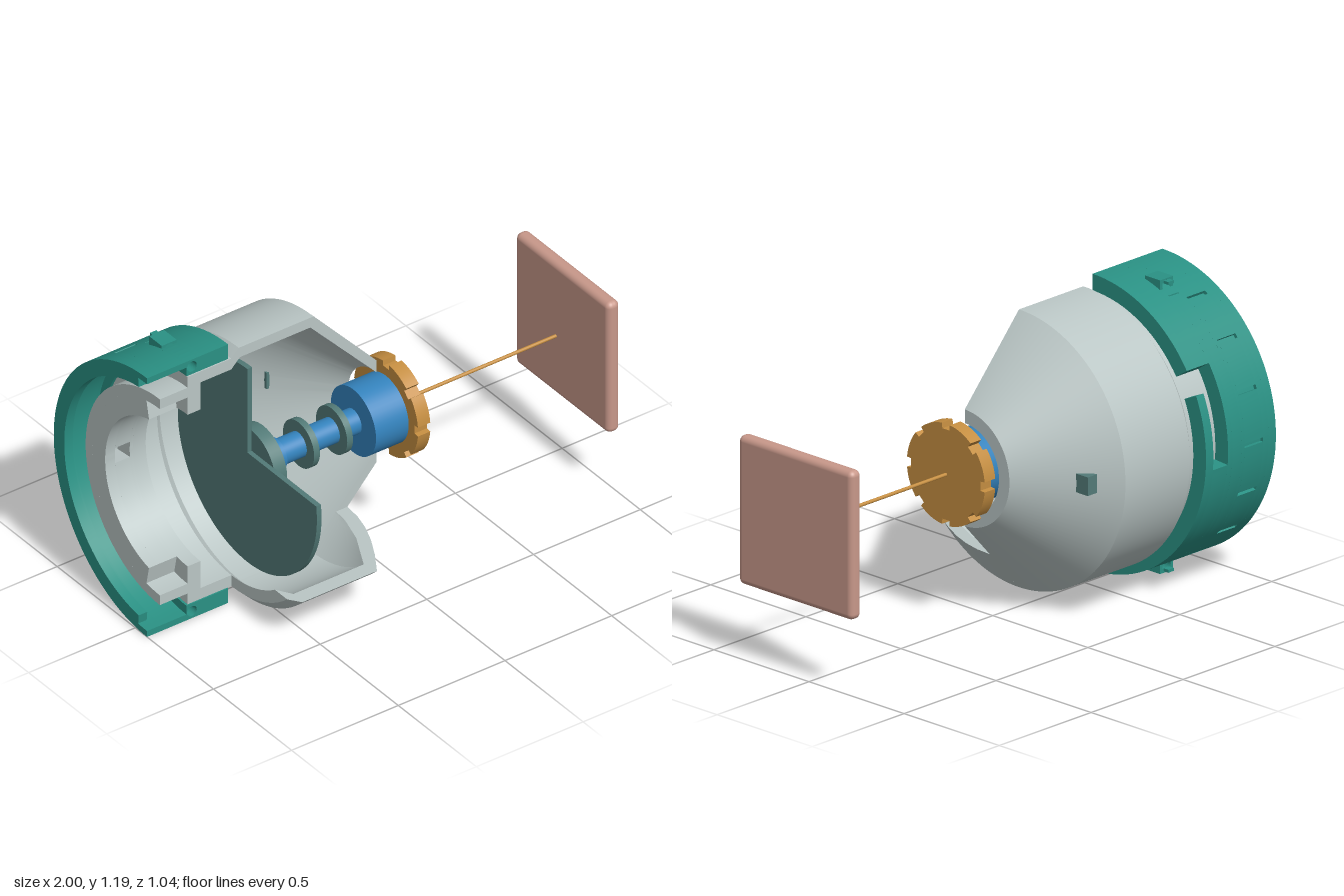
import * as THREE from 'three';
import { toCreasedNormals } from 'three/addons/utils/BufferGeometryUtils.js';
import { RoundedBoxGeometry } from 'three/addons/geometries/RoundedBoxGeometry.js';

const PI = Math.PI;
const material = (name, color) => {
  const m = new THREE.MeshStandardMaterial({ color });
  m.name = name;
  return m;
};

// Sweeps a closed clockwise (x, radius) section about the x axis.
// Angle 0 is up and a quarter turn is the back; the end angle may depend on radius.
function sweep(profile, a0, a1, steps) {
  const end = typeof a1 === 'function' ? a1 : () => a1;
  const n = steps || Math.max(2, Math.ceil((end(0.5) - a0) / (PI / 60)));
  const at = ([x, r], j) => {
    const a = a0 + (end(r) - a0) * j / n;
    return [x, r * Math.cos(a), -r * Math.sin(a)];
  };
  const pos = [];
  const tri = (a, b, c) => pos.push(...a, ...b, ...c);
  profile.forEach((p, i) => {
    const q = profile[(i + 1) % profile.length];
    for (let j = 0; j < n; j++) {
      tri(at(p, j), at(q, j), at(q, j + 1));
      tri(at(p, j), at(q, j + 1), at(p, j + 1));
    }
  });
  // flat end caps
  const contour = profile.map(([x, r]) => new THREE.Vector2(x, r));
  for (const f of THREE.ShapeUtils.triangulateShape(contour, [])) {
    const [a, b, c] = f.map(i => profile[i]);
    const ccw = (b[0] - a[0]) * (c[1] - a[1]) - (c[0] - a[0]) * (b[1] - a[1]) > 0;
    const [u, v] = ccw ? [b, c] : [c, b];
    tri(at(a, 0), at(u, 0), at(v, 0));
    tri(at(a, n), at(v, n), at(u, n));
  }
  const g = new THREE.BufferGeometry();
  g.setAttribute('position', new THREE.Float32BufferAttribute(pos, 3));
  return toCreasedNormals(g, 0.4);
}

const sector = (x0, x1, r0, r1, a0, a1) =>
  sweep([[x0, r1], [x1, r1], [x1, r0], [x0, r0]], a0, a1);

const rod = (x0, x1, r) =>
  new THREE.CylinderGeometry(r, r, x1 - x0, 48).rotateZ(PI / 2).translate((x0 + x1) / 2, 0, 0);

// Extrudes a (-z, y) outline along x
const slab = (shape, x0, x1) =>
  new THREE.ExtrudeGeometry(shape, { depth: x1 - x0, bevelEnabled: false, curveSegments: 48 })
    .rotateY(PI / 2).translate(x0, 0, 0);

// Rectangle in x, y with the pin hole through it
function drilled(x0, x1, y0, y1) {
  const s = new THREE.Shape();
  s.moveTo(x0, y0).lineTo(x1, y0).lineTo(x1, y1).lineTo(x0, y1).closePath();
  s.holes.push(new THREE.Path().absarc(-0.79, 0.565, 0.023, 0, PI * 2, true));
  return s;
}

export function createModel() {
  const teal = material('teal', 0x2a9184);
  const grey = material('pale grey', 0xbac6c5);
  const slate = material('slate green', 0x537b78);
  const blue = material('blue', 0x3483bd);
  const amber = material('amber', 0xc58e41);
  const pink = material('dusty pink', 0xc8988a);

  const model = new THREE.Group();
  const body = new THREE.Group();
  body.name = 'assembly';
  body.position.set(0, 0.6, 0.075);
  model.add(body);
  const add = (name, geometry, mat, parent = body) => {
    const m = new THREE.Mesh(geometry, mat);
    m.name = name;
    parent.add(m);
    return m;
  };

  // Half housing with neck and flange
  add('housingBack', sweep([
    [-0.94, 0.475], [-0.81, 0.475], [-0.81, 0.525], [-0.605, 0.525], [-0.57, 0.56],
    [-0.22, 0.56], [0.075, 0.235], [0.075, 0.18], [-0.235, 0.515], [-0.565, 0.515],
    [-0.605, 0.475], [-0.75, 0.475], [-0.75, 0.35], [-0.81, 0.35], [-0.81, 0.43], [-0.94, 0.43],
  ], 0, PI), grey);

  // Lower front of the housing, ending in a level cut
  const cut = 0.385;
  const cone = (xTop, rTop, xCut) => [0, 0.2, 0.4, 0.6, 0.8, 1].map(t =>
    [xCut + (xTop - xCut) * t * t, cut + (rTop - cut) * t * t]);
  add('housingLowerFront', sweep([
    [-0.605, 0.525], [-0.57, 0.56], ...cone(-0.22, 0.56, -0.061).reverse(),
    ...cone(-0.235, 0.515, -0.115), [-0.565, 0.515], [-0.605, 0.475],
  ], PI, r => PI + Math.acos(Math.min(1, cut / r)), 20), grey);

  // Neck lining with a square window at the back
  for (const [x0, x1, a0, a1] of [
    [-0.94, -0.895, 0.2, PI - 0.2], [-0.825, -0.81, 0.2, PI - 0.2],
    [-0.895, -0.825, 0.2, PI / 2 - 0.1], [-0.895, -0.825, PI / 2 + 0.1, PI - 0.2],
  ]) add('neckLining', sector(x0, x1, 0.35, 0.43, a0, a1), grey);

  // Collar bands, leaving an angled locking slot open to the rim
  const R = 0.597, slotTop = 0.98, slotBottom = 1.66;
  for (const [x0, x1, r0, a0, a1] of [
    [-1, -0.96, 0.57, 0, PI], [-1, -0.96, 0.53, 0.1, PI - 0.1],
    [-0.96, -0.93, 0.57, 0, PI], [-0.83, -0.815, 0.57, 0, PI],
    [-0.815, -0.765, 0.53, 0.46, PI - 0.46], [-0.765, -0.74, 0.53, 0, PI],
    [-0.74, -0.66, 0.53, 0, slotTop], [-0.74, -0.66, 0.53, slotBottom, PI],
    [-0.66, -0.62, 0.53, 0, slotTop], [-0.66, -0.62, 0.53, 1.15, PI],
  ]) add('collar', sector(x0, x1, r0, R, a0, a1), teal);

  // Row of shallow grip recesses around the collar
  add('collarRecessFloor', sector(-0.93, -0.83, 0.57, 0.583, 0, PI), teal);
  let from = 0;
  for (let k = 0; k < 7; k++) {
    const a = PI / 2 + (k - 3) * 0.349;
    add('collarGrip', sector(-0.93, -0.83, 0.583, R, from, a - 0.015), teal);
    from = a + 0.015;
  }
  add('collarGrip', sector(-0.93, -0.83, 0.583, R, from, PI), teal);

  // Drilled collar ends and lugs, mirrored top and bottom
  for (const side of [1, -1]) {
    const end = new THREE.Group();
    end.name = side > 0 ? 'upperCollarEnd' : 'lowerCollarEnd';
    end.scale.y = side;
    body.add(end);
    const block = new THREE.ExtrudeGeometry(drilled(-0.815, -0.765, 0.53, R),
      { depth: 0.26, steps: 10, bevelEnabled: false, curveSegments: 16 }).translate(0, 0, -0.26);
    const p = block.attributes.position;
    for (let i = 0; i < p.count; i++) {
      const z = p.getZ(i), y = p.getY(i);
      const low = y < 0.531 ? Math.sqrt(0.53 ** 2 - z * z) : y;
      p.setY(i, Math.min(low, Math.sqrt(R * R - z * z)));
    }
    block.computeVertexNormals();
    add('drilledBlock', block, teal, end);
    add('lug', new THREE.ExtrudeGeometry(drilled(-0.825, -0.755, 0.53, 0.592),
      { depth: 0.08, bevelEnabled: false, curveSegments: 16 }).translate(0, 0, -0.225), teal, end);
    add('lugTip', new THREE.BoxGeometry(0.03, 0.012, 0.025).translate(-0.79, 0.58, -0.236), teal, end);
  }

  // Peg on the cone
  add('conePeg', new THREE.BoxGeometry(0.05, 0.075, 0.08).translate(-0.12, 0.002, -0.443), slate);

  // Three-quarter divider disc
  const disc = new THREE.Shape();
  disc.moveTo(0, 0.06).lineTo(0, 0.445);
  disc.absarc(0, 0, 0.445, PI / 2, -PI - Math.asin(0.06 / 0.445), true);
  disc.closePath();
  add('dividerDisc', slab(disc, -0.53, -0.508), slate);

  // Shaft, rings and hub
  add('hubDisc', rod(-0.51, -0.455, 0.153), slate);
  add('hubWasher', rod(-0.456, -0.447, 0.08), amber);
  add('shaftEnd', rod(-0.45, -0.39, 0.065), blue);
  add('shaft', rod(-0.4, -0.02, 0.053), blue);
  for (const x of [-0.29, -0.135]) add('shaftRing', rod(x, x + 0.027, 0.1), slate);
  add('shaftHead', rod(-0.033, 0.125, 0.145), blue);

  // Notched knob and thin rod
  const knob = new THREE.Shape();
  const notches = 8;
  for (let i = 0; i < notches; i++) {
    const a = i * 2 * PI / notches, h = 0.1, next = a + 2 * PI / notches - h;
    for (const [r, t] of [[0.205, a - h], [0.183, a - h], [0.183, a + h]]) {
      const x = r * Math.cos(t), y = r * Math.sin(t);
      if (i === 0 && r > 0.2) knob.moveTo(x, y);
      else knob.lineTo(x, y);
    }
    for (let k = 0; k <= 8; k++) {
      const t = a + h + (next - a - h) * k / 8;
      knob.lineTo(0.205 * Math.cos(t), 0.205 * Math.sin(t));
    }
  }
  add('knob', toCreasedNormals(slab(knob, 0.12, 0.178), 0.4), amber);
  add('thinRod', rod(0.17, 0.915, 0.007), amber);

  // Square end panel
  add('endPanel', new RoundedBoxGeometry(0.058, 0.6, 0.6, 4, 0.024).translate(0.969, 0, 0.003), pink);

  return model;
}
